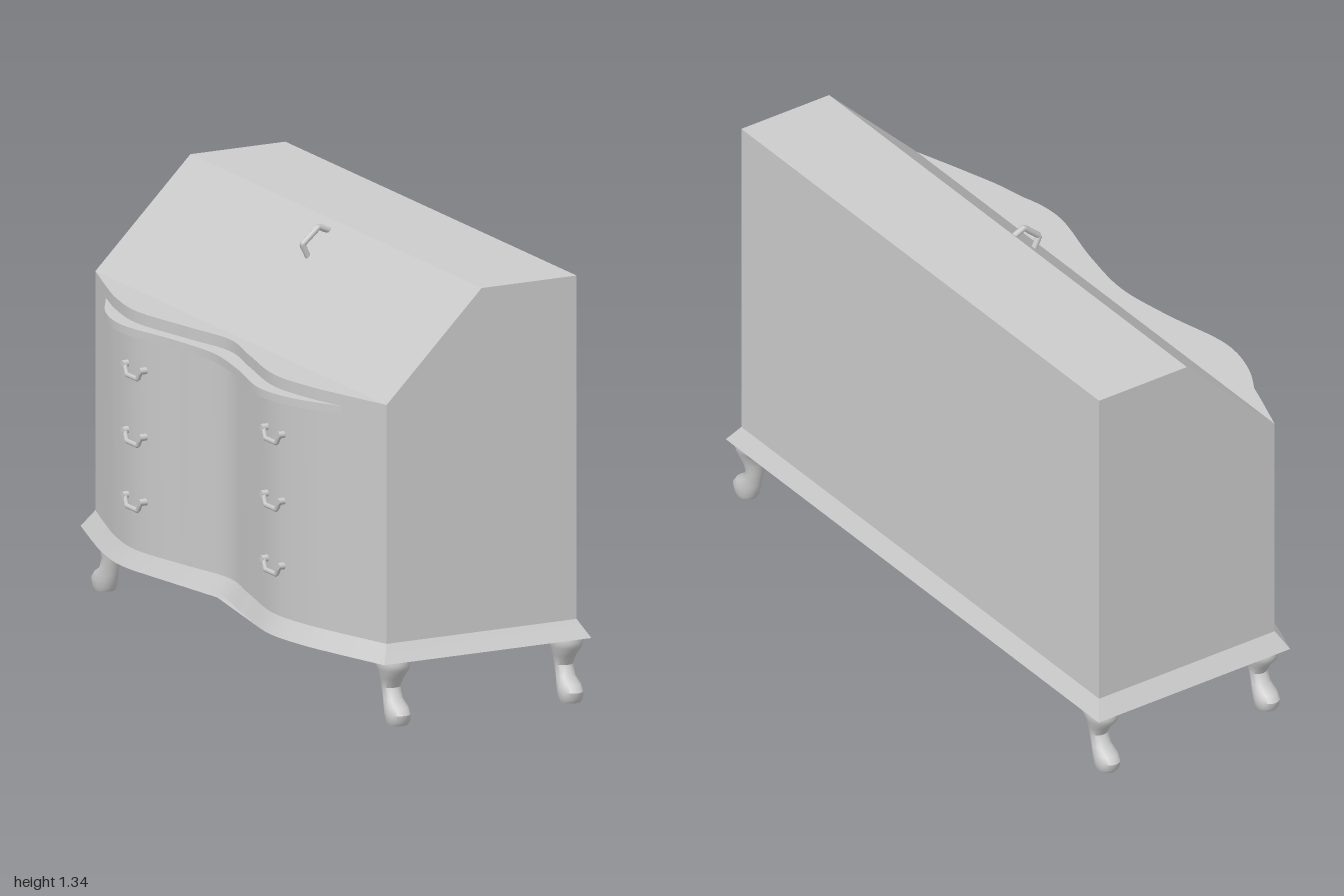
import * as THREE from 'three';
import { toCreasedNormals } from 'three/addons/utils/BufferGeometryUtils.js';

const V = (x, y, z) => new THREE.Vector3(x, y, z);

// Serpentine curves, given as [z, x] for one half and mirrored across z = 0
const FRONT = [[0, -0.298], [0.2, -0.338], [0.45, -0.385], [0.62, -0.362], [0.77, -0.318], [0.945, -0.26]];
const LEDGE = [[0, -0.355], [0.2, -0.382], [0.45, -0.435], [0.6, -0.408], [0.765, -0.32]];

function serpentine(half, n = 64) {
  const pts = [...half.slice(1).reverse().map(([z, x]) => V(x, 0, -z)), ...half.map(([z, x]) => V(x, 0, z))];
  return new THREE.CatmullRomCurve3(pts, false, 'centripetal').getPoints(n);
}

// Join rings of points (counter-clockwise from above, listed bottom to top), closing the underside
function loft(rings) {
  const n = rings[0].length, pos = [], idx = [];
  rings.forEach(r => r.forEach(p => pos.push(p.x, p.y, p.z)));
  for (let j = 0; j < rings.length - 1; j++) {
    for (let i = 0; i < n; i++) {
      const a = j * n + i, b = j * n + (i + 1) % n;
      idx.push(a, b, b + n, a, b + n, a + n);
    }
  }
  const c = rings[0].reduce((s, p) => s.add(p), V(0, 0, 0)).divideScalar(n);
  pos.push(c.x, c.y, c.z);
  for (let i = 0; i < n; i++) idx.push(rings.length * n, (i + 1) % n, i);
  const g = new THREE.BufferGeometry();
  g.setAttribute('position', new THREE.Float32BufferAttribute(pos, 3));
  g.setIndex(idx);
  return toCreasedNormals(g, 0.7);
}

// Extrude a plan outline upwards from y0 to y1
function slab(points, y0, y1) {
  const shape = new THREE.Shape(points.map(p => new THREE.Vector2(p.x, -p.z)));
  const g = new THREE.ExtrudeGeometry(shape, { depth: y1 - y0, bevelEnabled: false });
  g.rotateX(-Math.PI / 2).translate(0, y0, 0);
  return toCreasedNormals(g, 0.4);
}

// Rod following straight runs with tight corners
function rod(points, radius) {
  const path = new THREE.CurvePath();
  for (let i = 1; i < points.length; i++) path.add(new THREE.LineCurve3(points[i - 1], points[i]));
  return new THREE.TubeGeometry(path, 36, radius, 8);
}

export function createModel() {
  const model = new THREE.Group();
  const grey = new THREE.MeshStandardMaterial({ color: 0xcccccc });
  const add = (name, geometry, parent = model) => {
    const mesh = new THREE.Mesh(geometry, grey);
    mesh.name = name;
    parent.add(mesh);
    return mesh;
  };

  // Drawer case with serpentine front
  const front = serpentine(FRONT);
  const plan = [V(0.4, 0, 0.945), V(0.4, 0, -0.945), ...front];
  add('drawerCase', slab(plan, 0.255, 1.01));

  // Writing compartment with sloping lid
  const side = new THREE.Shape([[-0.26, 1.01], [0.4, 1.01], [0.4, 1.34], [0.07, 1.34]].map(p => new THREE.Vector2(...p)));
  const top = new THREE.ExtrudeGeometry(side, { depth: 1.89, bevelEnabled: false });
  add('slantTop', top.translate(0, 0, -0.945));

  // Flared base moulding, widening toward the bottom
  const ring = (y, out) => plan.map(p => V(p.x + (p.x > 0 ? out * 0.75 : -out * 0.75), y, p.z * (1 + out / 0.945)));
  add('baseMoulding', loft([ring(0.2, 0.04), ring(0.23, 0.018), ring(0.255, 0)]));

  // Curved ledge strip above the drawers
  const inner = serpentine(FRONT).filter(p => Math.abs(p.z) < 0.74).map(p => V(p.x + 0.015, 0, p.z));
  add('ledge', slab([...serpentine(LEDGE), ...inner.reverse()], 0.947, 0.973));

  // Lid handle, standing square to the slope
  add('lidHandle', rod([V(-0.025, 1.235, 0), V(-0.047, 1.28, 0), V(0.01, 1.33, 0), V(0.055, 1.31, 0)], 0.01));

  // Drawer pulls: two studs with a dropped bail
  for (const y of [0.41, 0.615, 0.825]) {
    for (const s of [-1, 1]) {
      const pull = new THREE.Group();
      pull.name = 'drawerPull';
      pull.position.set(-0.385, y, s * 0.45);
      for (const z of [-0.055, 0.055]) {
        const stud = add('pullStud', new THREE.CylinderGeometry(0.011, 0.011, 0.035, 12), pull);
        stud.rotation.z = Math.PI / 2;
        stud.position.set(0, 0.008, z);
      }
      add('pullBail', rod([V(-0.01, 0.012, -0.055), V(-0.012, -0.022, -0.035),
        V(-0.012, -0.022, 0.035), V(-0.01, 0.012, 0.055)], 0.008), pull);
      model.add(pull);
    }
  }

  // Cabriole legs, sections as [y, half width, inner z, outer z]
  const sections = [[0, 0.032, 0.915, 0.985], [0.012, 0.037, 0.907, 0.995], [0.035, 0.039, 0.9, 1],
    [0.055, 0.036, 0.893, 0.985], [0.075, 0.031, 0.89, 0.95], [0.11, 0.03, 0.88, 0.934],
    [0.14, 0.037, 0.875, 0.95], [0.17, 0.048, 0.863, 0.978], [0.188, 0.053, 0.845, 0.984], [0.203, 0.054, 0.815, 0.982]];
  for (const x of [-0.225, 0.375]) {
    for (const s of [-1, 1]) {
      const rings = sections.map(([y, w, z0, z1]) => Array.from({ length: 20 }, (_, i) => {
        const a = i / 20 * Math.PI * 2;
        return V(x + w * Math.cos(a), y, s * (z0 + z1) / 2 - (z1 - z0) / 2 * Math.sin(a));
      }));
      add('cabrioleLeg', loft(rings));
    }
  }
  return model;
}
